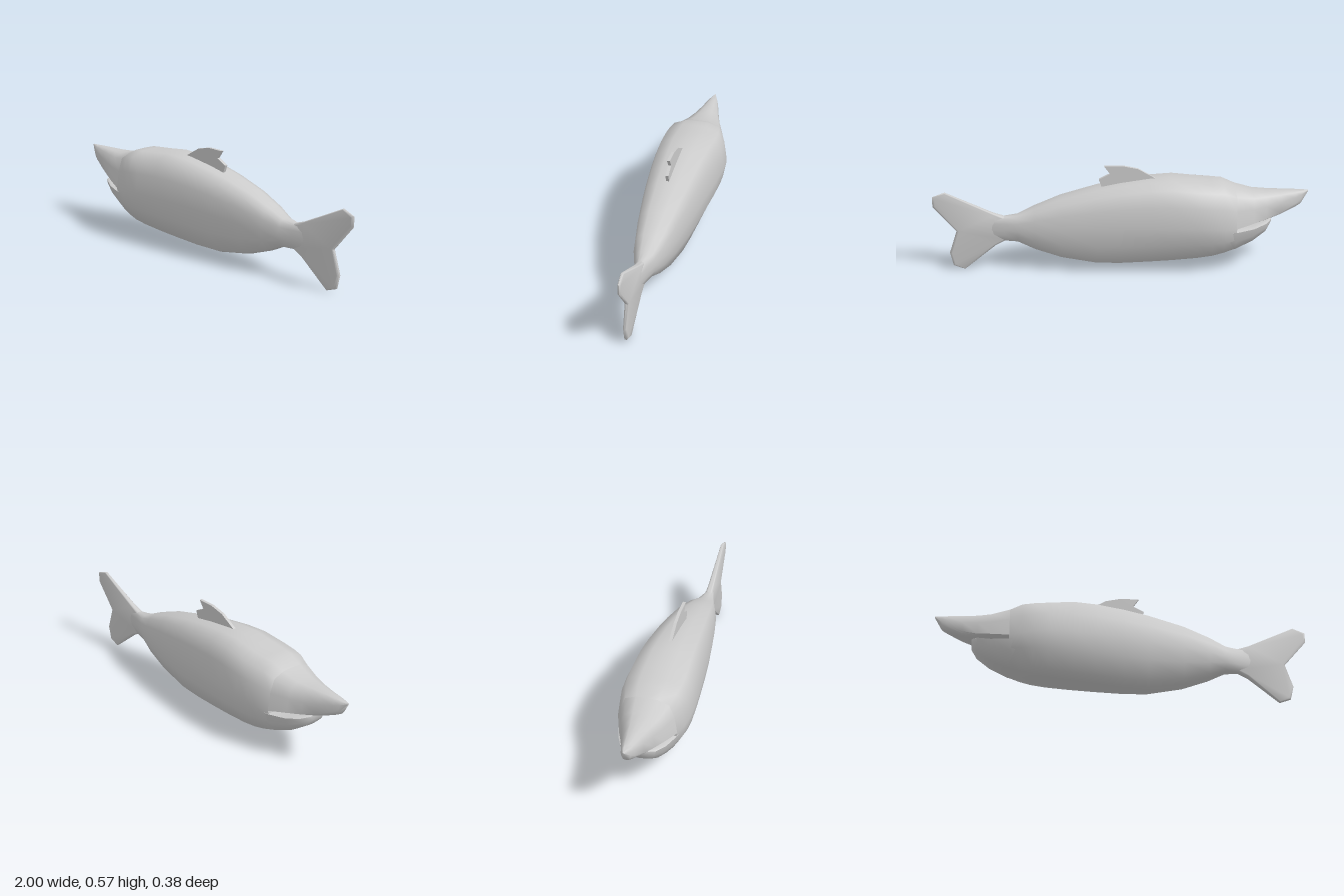
import * as THREE from 'three';
import { toCreasedNormals } from 'three/addons/utils/BufferGeometryUtils.js';

const material = new THREE.MeshStandardMaterial({ color: 0xcccccc });

// Half cross-section from the back down to the belly: [width, height above (+) or below (-) the seam]
const HALF = [[0, 1], [0.37, 0.99], [0.74, 0.87], [0.91, 0.5], [1, 0], [0.91, -0.44], [0.65, -0.88], [0.35, -0.96], [0, -1]];
const SECTION = [...HALF, ...HALF.slice(1, -1).reverse().map(([u, v]) => [-u, v])];

// Lofts the section along x; each station is [x, bottom, seam, top, halfWidth]
function loft(stations, crease) {
  const n = SECTION.length, pos = [], idx = [];
  for (const [x, bottom, seam, top, w] of stations) {
    for (const [u, v] of SECTION) {
      pos.push(x, seam + (v > 0 ? (top - seam) * v : (seam - bottom) * v), u * w);
    }
  }
  for (let i = 0; i < stations.length - 1; i++) {
    for (let j = 0; j < n; j++) {
      const a = i * n + j, b = i * n + (j + 1) % n;
      idx.push(a, b, b + n, a, b + n, a + n);
    }
  }
  // End caps
  const last = (stations.length - 1) * n, centre = pos.length / 3;
  for (const s of [stations[0], stations[stations.length - 1]]) pos.push(s[0], s[2], 0);
  for (let j = 0; j < n; j++) {
    const k = (j + 1) % n;
    idx.push(centre, k, j, centre + 1, last + j, last + k);
  }
  const geo = new THREE.BufferGeometry();
  geo.setAttribute('position', new THREE.Float32BufferAttribute(pos, 3));
  geo.setIndex(idx);
  return toCreasedNormals(geo, crease);
}

function outline(points) {
  return new THREE.Shape(points.map(([x, y]) => new THREE.Vector2(x, y)));
}

export function createModel() {
  const model = new THREE.Group();
  const add = (name, geo) => {
    const mesh = new THREE.Mesh(geo, material);
    mesh.name = name;
    model.add(mesh);
  };

  // Body, tapering into the tail stalk
  add('body', loft([
    [-0.605, 0.115, 0.265, 0.455, 0.153],
    [-0.54, 0.095, 0.27, 0.484, 0.175],
    [-0.48, 0.08, 0.28, 0.489, 0.187],
    [-0.4, 0.068, 0.285, 0.496, 0.19],
    [-0.27, 0.055, 0.285, 0.512, 0.182],
    [-0.15, 0.045, 0.285, 0.506, 0.171],
    [0, 0.035, 0.28, 0.485, 0.155],
    [0.13, 0.035, 0.27, 0.46, 0.139],
    [0.32, 0.07, 0.255, 0.41, 0.111],
    [0.46, 0.12, 0.245, 0.355, 0.084],
    [0.55, 0.163, 0.238, 0.313, 0.055],
    [0.62, 0.166, 0.237, 0.305, 0.032],
    [0.72, 0.175, 0.237, 0.3, 0.012],
  ], 1.0));

  // Pointed upper jaw
  add('upperJaw', loft([
    [-1, 0.418, 0.42, 0.425, 0.003],
    [-0.96, 0.35, 0.383, 0.425, 0.024],
    [-0.93, 0.335, 0.36, 0.426, 0.036],
    [-0.85, 0.302, 0.318, 0.427, 0.06],
    [-0.77, 0.285, 0.295, 0.428, 0.088],
    [-0.7, 0.276, 0.283, 0.431, 0.118],
    [-0.605, 0.26, 0.266, 0.455, 0.153],
    [-0.54, 0.25, 0.268, 0.478, 0.168],
  ], 0.95));

  // Shorter lower jaw
  add('lowerJaw', loft([
    [-0.8, 0.25, 0.278, 0.285, 0.045],
    [-0.77, 0.208, 0.27, 0.278, 0.092],
    [-0.7, 0.158, 0.252, 0.262, 0.122],
    [-0.605, 0.115, 0.245, 0.25, 0.152],
    [-0.54, 0.105, 0.25, 0.255, 0.165],
  ], 0.95));

  // Forked tail fin, thinning toward its tips
  const inset = 0.012;
  const tail = new THREE.ExtrudeGeometry(outline([
    [0.58, 0.175], [0.62, 0.168], [0.67, 0.142], [0.84, 0.005], [0.9, 0.027], [0.918, 0.1], [0.877, 0.225],
    [0.997, 0.365], [0.997, 0.42], [0.93, 0.445], [0.68, 0.325], [0.62, 0.304], [0.58, 0.295],
  ]), { depth: 0.6, bevelThickness: 0.7, bevelSize: inset, bevelOffset: -inset, bevelSegments: 3 });
  tail.translate(0, 0, -0.3);
  const p = tail.attributes.position;
  for (let i = 0; i < p.count; i++) {
    const t = THREE.MathUtils.clamp((p.getX(i) - 0.58) / 0.42, 0, 1);
    p.setZ(i, p.getZ(i) * THREE.MathUtils.lerp(0.022, 0.007, t));
  }
  tail.deleteAttribute('uv');
  tail.deleteAttribute('normal');
  add('tailFin', toCreasedNormals(tail, 1.0));

  // Flat dorsal fin
  const dorsal = new THREE.ExtrudeGeometry(outline([
    [-0.18, 0.508], [0.1, 0.458], [0.117, 0.505], [0.058, 0.535], [0.088, 0.578], [-0.01, 0.578], [-0.09, 0.56],
  ]), { depth: 0.016, bevelEnabled: false });
  dorsal.translate(0, 0, -0.008);
  add('dorsalFin', dorsal);

  return model;
}
